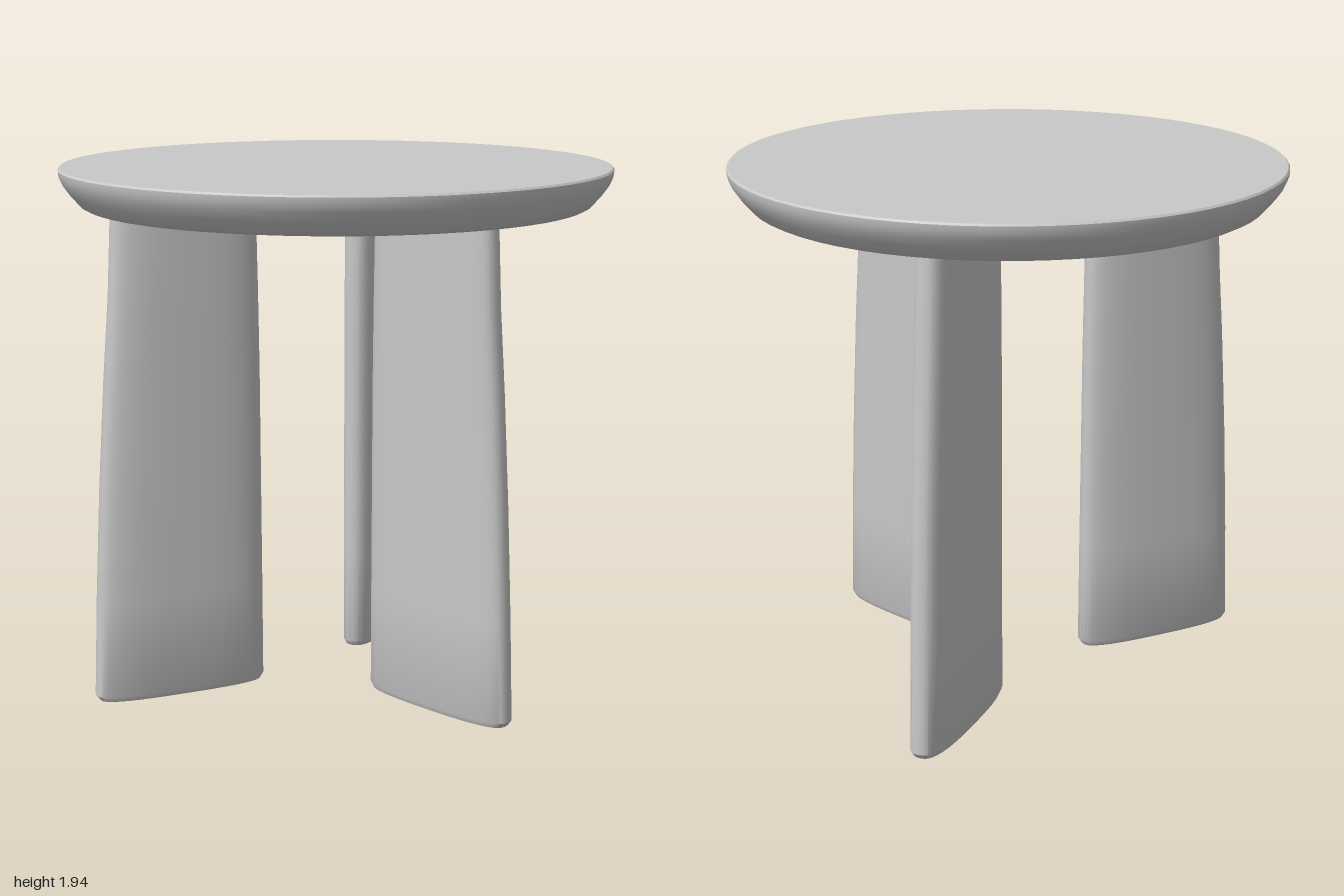
import * as THREE from 'three';
import { toCreasedNormals } from 'three/addons/utils/BufferGeometryUtils.js';

// Fin-shaped leg: rounded cross-sections stacked upward, long axis along z.
// Each level is [y, inner z, outer z, half thickness].
const LEVELS = [
  [0.008, 0.30, 0.86, 0.045],
  [0.015, 0.268, 0.897, 0.066],
  [0.035, 0.255, 0.912, 0.075],
  [0.4, 0.256, 0.898, 0.075],
  [0.8, 0.258, 0.878, 0.075],
  [1.2, 0.26, 0.852, 0.075],
  [1.5, 0.264, 0.828, 0.074],
  [1.82, 0.27, 0.812, 0.073],
];

function legGeometry(sides = 40) {
  const pos = [];
  const index = [];
  const round = (v) => Math.sign(v) * Math.pow(Math.abs(v), 2 / 2.8);
  for (const [y, inner, outer, half] of LEVELS) {
    for (let i = 0; i < sides; i++) {
      const a = (i / sides) * Math.PI * 2;
      pos.push(
        half * round(Math.cos(a)),
        y,
        (inner + outer) / 2 + ((outer - inner) / 2) * round(Math.sin(a))
      );
    }
  }
  // walls
  for (let j = 0; j < LEVELS.length - 1; j++) {
    for (let i = 0; i < sides; i++) {
      const n = (i + 1) % sides;
      const a = j * sides + i, b = j * sides + n;
      const c = a + sides, d = b + sides;
      index.push(a, c, b, b, c, d);
    }
  }
  // slightly bulging foot and hidden top cap
  const foot = pos.length / 3;
  pos.push(0, 0, 0.6, 0, 1.82, 0.54);
  const last = (LEVELS.length - 1) * sides;
  for (let i = 0; i < sides; i++) {
    const n = (i + 1) % sides;
    index.push(foot, i, n, foot + 1, last + n, last + i);
  }
  const geo = new THREE.BufferGeometry();
  geo.setAttribute('position', new THREE.Float32BufferAttribute(pos, 3));
  geo.setIndex(index);
  return toCreasedNormals(geo, 0.6);
}

export function createModel() {
  const model = new THREE.Group();
  model.name = 'roundStool';
  const grey = new THREE.MeshStandardMaterial({ color: 0xc8c8c8 });
  grey.name = 'light grey';

  // Round top with an undercut, curved rim
  const profile = [
    [0, 1.8], [0.905, 1.8], [0.925, 1.81], [0.96, 1.85],
    [0.985, 1.885], [0.998, 1.915], [1, 1.935], [0.994, 1.942], [0, 1.942],
  ].map(([r, y]) => new THREE.Vector2(r, y));
  const top = new THREE.Mesh(
    toCreasedNormals(new THREE.LatheGeometry(profile, 64), 0.5), grey);
  top.name = 'tableTop';
  model.add(top);

  // Three radiating legs: one forward, two swept slightly back
  const geo = legGeometry();
  const side = THREE.MathUtils.degToRad(110);
  for (const [name, turn, z] of [
    ['frontLeg', 0, -0.05],
    ['leftLeg', side, -0.07],
    ['rightLeg', -side, -0.07],
  ]) {
    const leg = new THREE.Mesh(geo, grey);
    leg.name = name;
    leg.rotation.y = turn;
    leg.position.z = z;
    model.add(leg);
  }
  return model;
}
